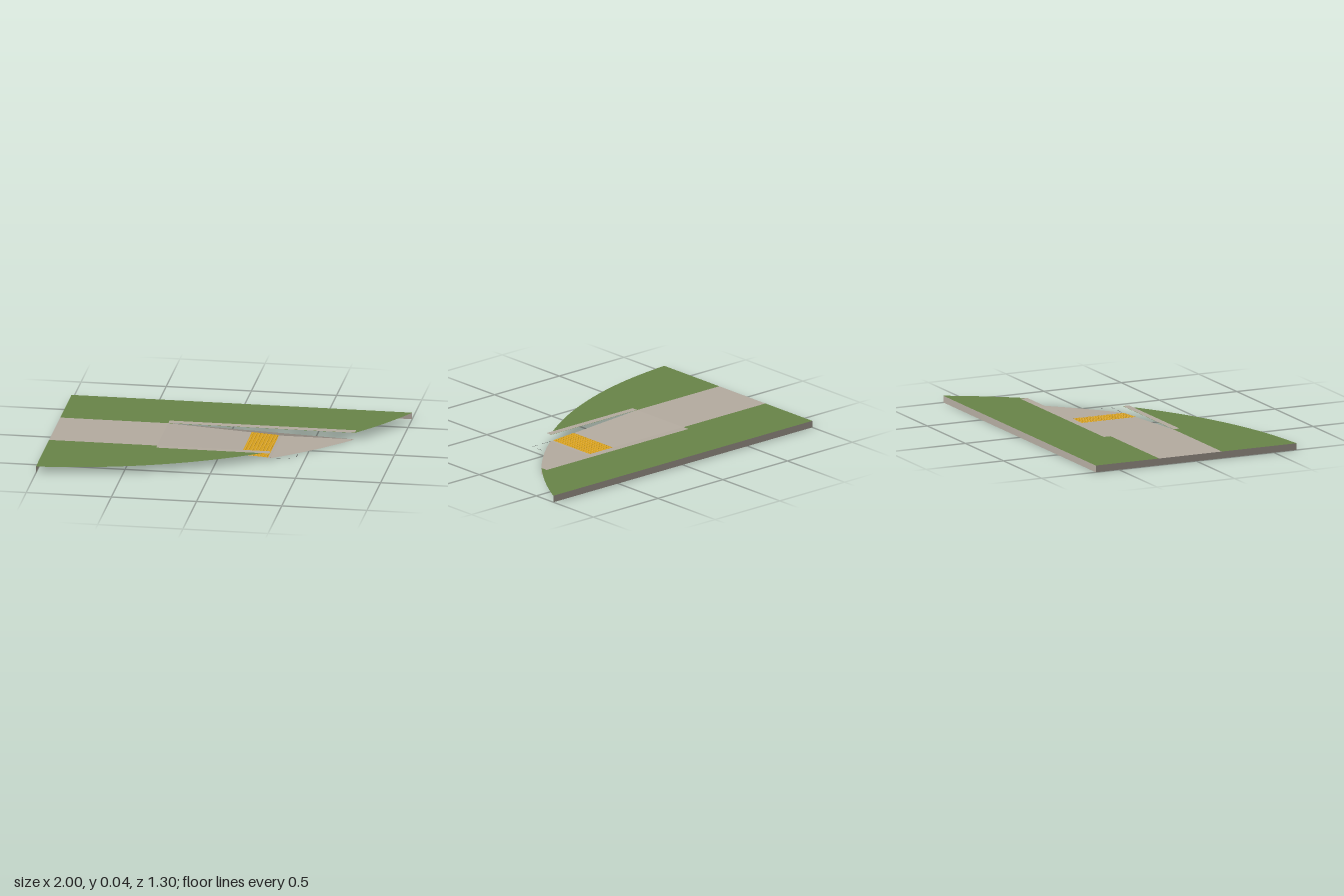
import * as THREE from 'three';
import { mergeGeometries } from 'three/addons/utils/BufferGeometryUtils.js';

const mat = (name, color) => new THREE.MeshStandardMaterial({ name, color, side: THREE.DoubleSide });

// Curved street edge: x of the arc at a given z
const CX = -1.15, CZ = -1.78, R = 2.43;
const arcX = z => Math.min(1, CX + Math.sqrt(Math.max(0, R * R - (z - CZ) ** 2)));

const TOP = 0.04, Z0 = -0.24, Z1 = 0.165, RAMP0 = -0.365, RAMP1 = 0.3;
const rampY = x => TOP * (RAMP1 - x) / (RAMP1 - RAMP0);

// Level sheet from x0 to the arc, between two z values
function arcSheet(x0, z0, z1, y) {
  const shape = new THREE.Shape();
  shape.moveTo(x0, -z0);
  const n = 32;
  for (let i = 0; i <= n; i++) {
    const z = z0 + (z1 - z0) * i / n;
    shape.lineTo(Math.max(x0, arcX(z)), -z);
  }
  shape.lineTo(x0, -z1);
  return new THREE.ShapeGeometry(shape).rotateX(-Math.PI / 2).translate(0, y, 0);
}

// Flat polygon (fan) from corners listed counter-clockwise
function face(...corners) {
  const g = new THREE.BufferGeometry();
  g.setAttribute('position', new THREE.Float32BufferAttribute(corners.flat(), 3));
  const index = [];
  for (let i = 1; i < corners.length - 1; i++) index.push(0, i, i + 1);
  g.setIndex(index);
  g.computeVertexNormals();
  return g;
}

// Upward-facing rectangle, sloping along x if the two heights differ
const sheet = (x0, x1, z0, z1, y0, y1 = y0) =>
  face([x0, y0, z0], [x0, y0, z1], [x1, y1, z1], [x1, y1, z0]);

export function createModel() {
  const model = new THREE.Group();
  model.name = 'curbRamp';
  const grass = mat('grass green', 0x688548);
  const concrete = mat('concrete', 0xb4aba0);
  const yellow = mat('tactile yellow', 0xd9a21c);
  const dark = mat('dark line', 0x555555);

  const add = (name, geometry, material) => {
    const mesh = new THREE.Mesh(geometry, material);
    mesh.name = name;
    model.add(mesh);
    return mesh;
  };

  // Lawns on both sides of the path
  add('backLawn', arcSheet(-1, -0.65, Z0, TOP), grass);
  add('frontLawn', arcSheet(-1, Z1, 0.648, TOP), grass);

  // Outer walls under the two straight edges
  add('backWall', face([1, 0, -0.65], [-1, 0, -0.65], [-1, TOP, -0.65], [1, TOP, -0.65]), concrete);
  add('sideWall', face([-1, 0, -0.65], [-1, 0, 0.648], [-1, TOP, 0.648], [-1, TOP, -0.65]), concrete);

  // Path, sloping ramp and level toe ending at the arc
  add('path', sheet(-1, RAMP0, Z0, Z1, TOP), concrete);
  add('ramp', sheet(RAMP0, RAMP1, Z0, Z1, TOP, 0), concrete);
  add('rampToe', arcSheet(RAMP1, Z0, Z1, 0), concrete);
  add('rampSide', face([RAMP0, TOP, Z0], [RAMP1, 0, Z0], [arcX(Z0), 0, Z0]), concrete);

  // Curb strips along the ramp
  add('backCurb', sheet(RAMP0, 0.73, -0.285, Z0, TOP + 0.001), concrete);
  add('frontCurb', sheet(RAMP0, RAMP1, Z1, 0.205, TOP + 0.001), concrete);

  // Tactile pad with rows of small domes
  const px0 = 0.125, px1 = 0.285, lift = 0.002;
  add('tactilePad', sheet(px0, px1, Z0, Z1, rampY(px0) + lift, rampY(px1) + lift), yellow);
  const domes = [];
  const nx = 8, nz = 20;
  for (let i = 0; i < nx; i++) {
    for (let j = 0; j < nz; j++) {
      const x = px0 + (px1 - px0) * (i + 0.5) / nx;
      const z = Z0 + (Z1 - Z0) * (j + 0.5) / nz;
      domes.push(new THREE.CylinderGeometry(0.004, 0.006, 0.003, 8)
        .translate(x, rampY(x) + lift + 0.001, z));
    }
  }
  add('tactileDomes', mergeGeometries(domes), yellow);

  // Dashed guide line beyond the toe
  const dashes = [[0.3, 0.37, 0.163, 0.167], [0.405, 0.447, 0.163, 0.167], [0.443, 0.447, 0.08, 0.125]];
  for (const [x0, x1, z0, z1] of dashes) add('guideDash', sheet(x0, x1, z0, z1, 0.001), dark);

  return model;
}
